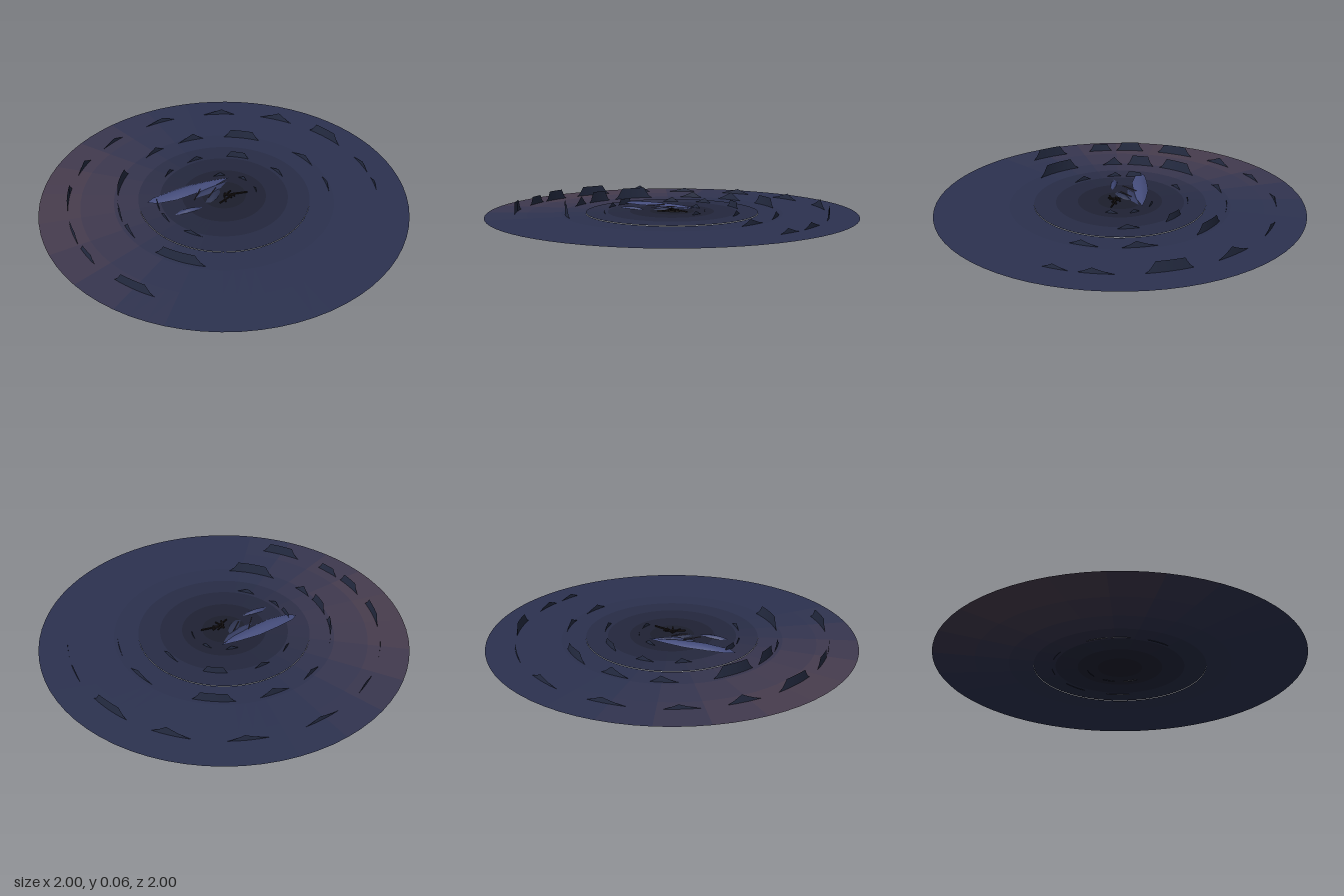
import * as THREE from 'three';

const RAD = Math.PI / 180;
const paint = (color, flat = false) =>
  new THREE.MeshStandardMaterial({ color, flatShading: flat, side: THREE.DoubleSide });

function add(parent, name, geometry, material) {
  const mesh = new THREE.Mesh(geometry, material);
  mesh.name = name;
  parent.add(mesh);
  return mesh;
}

// Ground tint: dark in the middle, blue outside, a warm glow towards the back right
function groundColor(r, angle) {
  const color = new THREE.Color(0x1c1e2c).lerp(new THREE.Color(0x2c3250), THREE.MathUtils.smoothstep(r, 0.02, 0.65));
  const glow = Math.max(0, Math.cos((angle - 140) * RAD)) ** 3 * THREE.MathUtils.smoothstep(r, 0.2, 1);
  return color.lerp(new THREE.Color(0x4a3e4e), glow);
}

// Flat 24-sided ground; the inner disc lies a hair above the outer ring
function ground() {
  const group = new THREE.Group();
  group.name = 'ground';
  const radii = [0, 0.12, 0.23, 0.35, 0.468, 0.6, 0.78, 1];
  for (let k = 0; k < radii.length - 1; k++) {
    for (let i = 0; i < 24; i++) {
      const g = new THREE.RingGeometry(radii[k], radii[k + 1], 1, 1, i * 15 * RAD, 15 * RAD);
      g.rotateX(-Math.PI / 2);
      g.translate(0, k < 4 ? 0.003 : 0, 0);
      const mid = (radii[k] + radii[k + 1]) / 2;
      add(group, k < 4 ? 'innerGround' : 'outerGround', g, paint(groundColor(mid, i * 15 + 7.5)));
    }
  }
  return group;
}

// Outline of a flat-topped mesa or a lopsided hill, s runs from -1 to 1
const profiles = {
  mesa: s => Math.min(1, (1 - Math.abs(s)) / 0.4) ** 1.5,
  hill: s => (s < 0.2 ? (s + 1) / 1.2 : (1 - s) / 0.8) ** 1.2,
};

// Thin upright sheet bent along a circle
function ridge(r, angle, half, height, kind) {
  const g = new THREE.PlaneGeometry(2, 1, 20, 1);
  const p = g.attributes.position;
  for (let i = 0; i < p.count; i++) {
    const s = p.getX(i);
    const a = (angle - s * half) * RAD;
    const y = p.getY(i) > 0 ? height * profiles[kind](s) : 0;
    p.setXYZ(i, r * Math.cos(a), y, -r * Math.sin(a));
  }
  g.computeVertexNormals();
  return g;
}

// Rows: angle, half width in degrees, height, kind
const horizon = [
  { r: 0.845, rows: [
    [139, 8, 0.055, 'mesa'], [118, 6, 0.043, 'hill'], [98, 6, 0.025, 'hill'], [74, 7, 0.03, 'hill'],
    [48, 7, 0.035, 'hill'], [23, 7, 0.05, 'hill'], [-1, 8, 0.058, 'mesa'], [-24, 6, 0.03, 'hill'],
    [-37, 4.5, 0.025, 'hill'], [159, 6, 0.055, 'mesa'], [172, 5, 0.045, 'mesa'], [195, 8, 0.06, 'mesa']] },
  { r: 0.58, rows: [
    [127, 12, 0.062, 'mesa'], [91, 7, 0.035, 'hill'], [66, 8, 0.045, 'hill'], [35, 11, 0.052, 'mesa'],
    [-7, 9, 0.035, 'hill'], [-34, 8, 0.03, 'hill'], [151, 8, 0.06, 'mesa'], [168, 6, 0.05, 'hill'],
    [203, 14, 0.064, 'mesa']] },
  { r: 0.37, rows: [
    [104, 8, 0.03, 'hill'], [73, 9, 0.03, 'hill'], [33, 11, 0.04, 'mesa'], [-9, 11, 0.03, 'hill'],
    [150, 9, 0.035, 'mesa'], [169, 8, 0.03, 'hill'], [200, 10, 0.03, 'hill']] },
  { r: 0.18, rows: [
    [-30, 14, 0.024, 'hill'], [10, 12, 0.024, 'hill'], [55, 14, 0.026, 'hill']] },
];

function mountains() {
  const group = new THREE.Group();
  group.name = 'mountains';
  const material = paint(0x262d44);
  for (const { r, rows } of horizon) {
    for (const [angle, half, height, kind] of rows) {
      add(group, kind, ridge(r, angle, half, height, kind), material);
    }
  }
  return group;
}

// Low domed plate: an x/z outline, a raised inner copy and a centre point
function plate(outline, base, rise) {
  const n = outline.length;
  const cx = outline.reduce((t, p) => t + p[0], 0) / n;
  const cz = outline.reduce((t, p) => t + p[1], 0) / n;
  const pos = [];
  const index = [];
  for (const [scale, lift] of [[1, 0], [0.6, 0.7]]) {
    for (const [x, z] of outline) pos.push(cx + (x - cx) * scale, base + rise * lift, cz + (z - cz) * scale);
  }
  pos.push(cx, base + rise, cz);
  for (let i = 0; i < n; i++) {
    const j = (i + 1) % n;
    index.push(i, n + i, j, j, n + i, n + j, n + i, 2 * n, n + j);
  }
  const g = new THREE.BufferGeometry();
  g.setAttribute('position', new THREE.Float32BufferAttribute(pos, 3));
  g.setIndex(index.reverse());
  g.computeVertexNormals();
  return g;
}

// Outlines run clockwise seen from above
const plates = {
  largeSlab: { color: 0x454d7c, base: 0.01, rise: 0.015, outline: [
    [-0.35, -0.235], [-0.30, -0.243], [-0.2, -0.222], [-0.08, -0.19], [0.04, -0.135], [0.125, -0.087],
    [0.02, -0.087], [-0.12, -0.113], [-0.22, -0.138], [-0.32, -0.19]] },
  middleSlab: { color: 0x363d62, base: 0.006, rise: 0.01, outline: [
    [-0.14, -0.085], [-0.06, -0.108], [0.03, -0.09], [0.1, -0.078], [0.03, -0.055], [-0.05, -0.058]] },
  sideSlab: { color: 0x3c4470, base: 0.004, rise: 0.012, outline: [
    [-0.31, -0.055], [-0.26, -0.062], [-0.2, -0.035], [-0.155, -0.002], [-0.2, -0.004], [-0.26, -0.025]] },
  frontSlab: { color: 0x2e3450, base: 0.004, rise: 0.012, outline: [
    [-0.12, -0.02], [-0.06, -0.055], [0.02, -0.06], [0, -0.03], [-0.05, -0.002], [-0.1, 0]] },
};

// Straight stick between two x/z points
function stick(group, name, a, b, y, thick, material) {
  const dx = b[0] - a[0], dz = b[1] - a[1];
  const mesh = add(group, name, new THREE.BoxGeometry(Math.hypot(dx, dz), thick, thick), material);
  mesh.position.set((a[0] + b[0]) / 2, y, (a[1] + b[1]) / 2);
  mesh.rotation.y = -Math.atan2(dz, dx);
}

function centrepiece() {
  const group = new THREE.Group();
  group.name = 'centrepiece';
  for (const [name, { color, base, rise, outline }] of Object.entries(plates)) {
    add(group, name, plate(outline, base, rise), paint(color));
  }
  // Sticks across the slabs and dark debris in front of them
  const pale = paint(0x4a4350, true);
  stick(group, 'rod', [-0.16, -0.065], [-0.07, -0.115], 0.02, 0.004, pale);
  stick(group, 'rod', [-0.09, -0.03], [0.0, -0.065], 0.018, 0.004, pale);
  const dark = paint(0x1b1718, true);
  const twigs = [
    [-0.07, 0.04, 0.05, 0.035], [-0.04, 0.055, 0.0, 0.0], [0.0, 0.0, 0.03, 0.055],
    [0.02, 0.03, 0.1, 0.08], [-0.02, 0.02, 0.04, 0.01], [0.0, 0.005, 0.0, 0.06]];
  twigs.forEach(([ax, az, bx, bz], i) => stick(group, 'debris', [ax, az], [bx, bz], 0.008 + 0.002 * i, 0.007, dark));
  return group;
}

export function createModel() {
  const model = new THREE.Group();
  model.name = 'landscape';
  model.add(ground(), mountains(), centrepiece());
  return model;
}
